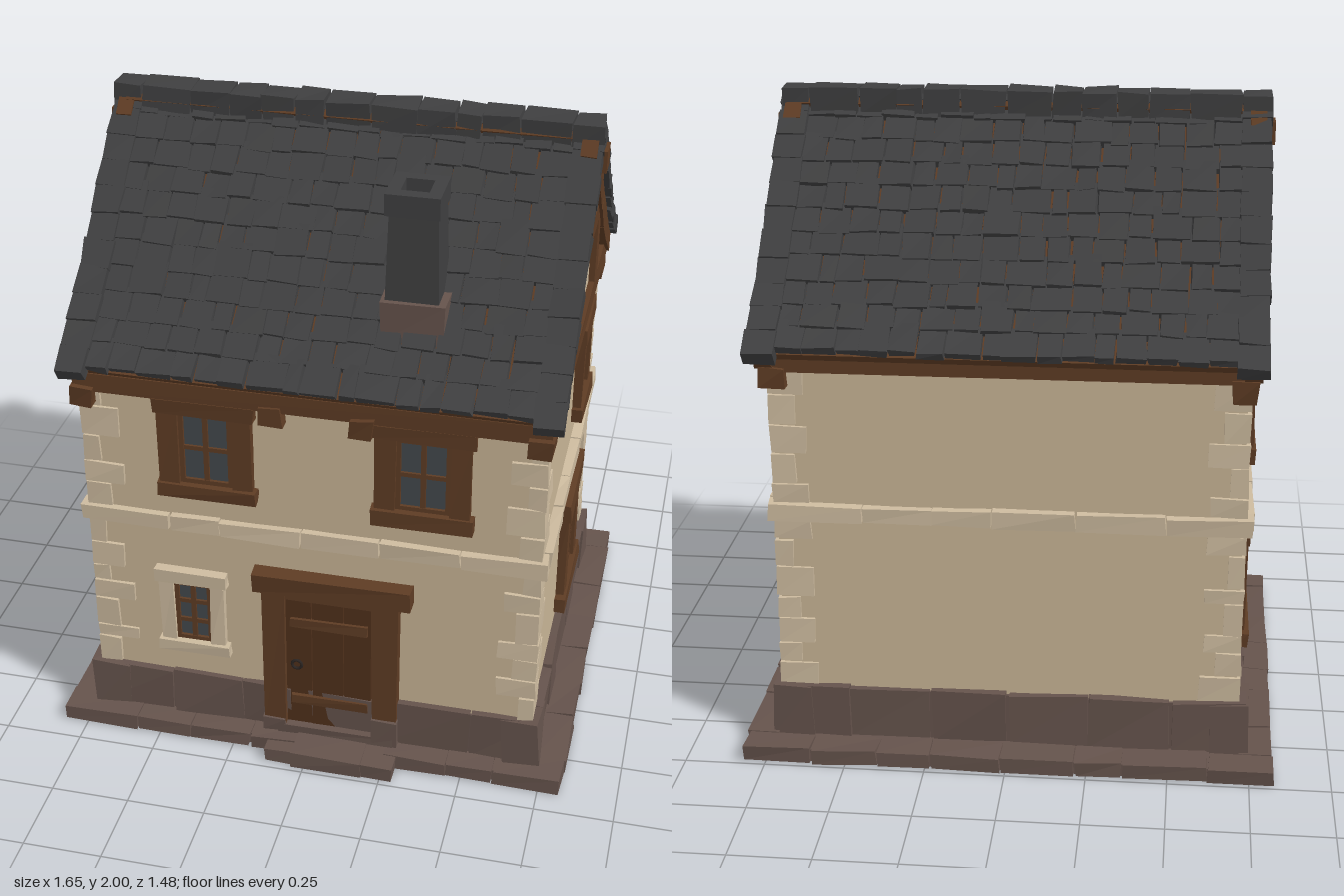
import * as THREE from 'three';
import { mergeGeometries } from 'three/addons/utils/BufferGeometryUtils.js';

const mat = (name, color) => {
  const m = new THREE.MeshStandardMaterial({ color });
  m.name = name;
  return m;
};

export function createModel() {
  const plaster = mat('plaster', 0xc9b596), paleStone = mat('pale stone', 0xcdbb9f);
  const stone = mat('foundation stone', 0x65534c), slate = mat('slate', 0x3f3f40);
  const timber = mat('timber', 0x5e3c24), doorWood = mat('door wood', 0x4f301b);
  const glass = mat('glass', 0x43484c), iron = mat('iron', 0x2c2522);
  const house = new THREE.Group();
  house.name = 'house';

  let seed = 7;
  const rnd = () => (seed = (seed * 16807) % 2147483647) / 2147483647;
  const vary = (a) => (rnd() - 0.5) * 2 * a;

  // Box with its eight corners nudged, for a hand-cut look
  function chunk(w, h, d, jit = 0) {
    const g = new THREE.BoxGeometry(w, h, d).toNonIndexed();
    const off = Array.from({ length: 24 }, () => vary(jit));
    const p = g.attributes.position;
    for (let i = 0; i < p.count; i++) {
      const x = p.getX(i), y = p.getY(i), z = p.getZ(i);
      const c = 3 * ((x > 0 ? 1 : 0) + (y > 0 ? 2 : 0) + (z > 0 ? 4 : 0));
      p.setXYZ(i, x + off[c], y + off[c + 1], z + off[c + 2]);
    }
    g.computeVertexNormals();
    return g;
  }
  // Box given by its limits on each axis
  const span = (x0, x1, y0, y1, z0, z1, jit = 0) =>
    chunk(x1 - x0, y1 - y0, z1 - z0, jit).translate((x0 + x1) / 2, (y0 + y1) / 2, (z0 + z1) / 2);
  function add(name, material, geos, parent = house) {
    const list = Array.isArray(geos) ? geos : [geos];
    const m = new THREE.Mesh(list.length > 1 ? mergeGeometries(list) : list[0], material);
    m.name = name;
    parent.add(m);
    return m;
  }
  // Cut a length into uneven pieces and call back with each piece
  function pieces(a, b, size, fn) {
    const n = Math.max(1, Math.round((b - a) / size)), step = (b - a) / n;
    const cuts = [a];
    for (let i = 1; i < n; i++) cuts.push(a + i * step + vary(step * 0.25));
    cuts.push(b);
    for (let i = 0; i < n; i++) fn(cuts[i], cuts[i + 1]);
  }
  // Ring of stones round a rectangle
  function ring(x, z0, z1, y0, y1, depth, size, jit) {
    const out = [];
    pieces(-x, x, size, (a, b) => out.push(span(a, b - 0.004, y0, y1, z1 - depth, z1, jit)));
    pieces(-x, x, size, (a, b) => out.push(span(a, b - 0.004, y0, y1, z0, z0 + depth, jit)));
    for (const s of [-1, 1]) pieces(z0 + depth, z1 - depth, size, (a, b) =>
      out.push(span(s * x - (s > 0 ? depth : 0), s * x + (s < 0 ? depth : 0), y0, y1, a, b - 0.004, jit)));
    return out;
  }

  // Foundation, plinth and door step
  add('baseSlab', stone, [span(-0.8, 0.8, 0, 0.04, -0.72, 0.65), ...ring(0.823, -0.738, 0.67, 0.002, 0.05, 0.1, 0.21, 0.004)]);
  add('plinth', stone, [span(-0.715, 0.715, 0.04, 0.2, -0.61, 0.59), ...ring(0.73, -0.622, 0.602, 0.04, 0.21, 0.08, 0.23, 0.007)]);
  const flares = [];
  for (const s of [-1, 1]) for (const z of [-0.56, 0.54])
    flares.push(span(s * 0.68 - 0.06, s * 0.68 + 0.06, 0.04, 0.21, z - 0.07, z + 0.07, 0.008));
  add('plinthCorners', stone, flares);
  add('doorStep', stone, [span(-0.13, -0.04, 0, 0.045, 0.6, 0.72, 0.003), span(-0.04, 0.19, 0, 0.055, 0.6, 0.735, 0.003),
    span(0.19, 0.29, 0, 0.05, 0.6, 0.73, 0.003), span(-0.11, 0.27, 0.04, 0.08, 0.57, 0.63, 0.003)]);

  // Walls with gables
  const profile = (pts, depth, x) => new THREE.ExtrudeGeometry(
    new THREE.Shape(pts.map(([z, y]) => new THREE.Vector2(-z, y))), { depth, bevelEnabled: false })
    .rotateY(Math.PI / 2).translate(x, 0, 0);
  add('walls', plaster, profile([[0.58, 0.1], [-0.6, 0.1], [-0.6, 1.28], [-0.035, 1.87], [0.58, 1.28]].reverse(), 1.41, -0.705));
  for (const s of [-1, 1])
    add('gablePanel', paleStone, profile([[0.55, 1.3], [-0.035, 1.87], [-0.6, 1.3]], 0.008, s * 0.709 - 0.004));
  add('stringCourse', paleStone, ring(0.735, -0.628, 0.605, 0.772, 0.825, 0.06, 0.24, 0.004));

  // Corner stones in alternating lengths
  const quoins = [];
  for (const sx of [-1, 1]) for (const front of [true, false]) for (const [y0, y1] of [[0.21, 0.77], [0.825, 1.25]]) {
    let k = front ? 0 : 1;
    pieces(y0, y1, 0.078, (a, b) => {
      const long = k++ % 2, w = (long ? 0.12 : 0.065) + vary(0.015), d = (long ? 0.075 : 0.125) + vary(0.015);
      const x = sx * (0.716 - w / 2), z = front ? 0.591 - d / 2 : -0.611 + d / 2;
      quoins.push(chunk(w, b - a - 0.006, d, 0.003).translate(x, (a + b) / 2, z));
    });
  }
  add('cornerStones', paleStone, quoins);

  // Framed window built facing +z around its own centre
  function makeWindow({ w, h, jamb, head, sill, rows, frame, over }) {
    const g = new THREE.Group();
    g.name = 'window';
    const a = w / 2, b = h / 2, wide = a + jamb;
    add('windowGlass', glass, span(-a, a, -b, b, -0.002, 0.006), g);
    add('windowFrame', frame, [
      span(-wide, -a, -b, b, -0.02, 0.028, 0.003), span(a, wide, -b, b, -0.02, 0.028, 0.003),
      span(-wide - over, wide + over, b, b + head, -0.02, 0.036, 0.004),
      span(-wide - over, wide + over, -b - sill, -b, -0.02, 0.038, 0.004)], g);
    const bars = [span(-0.008, 0.008, -b, b, 0, 0.014)];
    for (const s of [-1, 1]) {
      bars.push(span(s * a - 0.014, s * a + 0.014, -b, b, 0, 0.016));
      bars.push(span(-a, a, s * b - 0.014, s * b + 0.014, 0, 0.016));
    }
    for (let i = 1; i < rows; i++) {
      const y = -b + (i * h) / rows;
      bars.push(span(-a, a, y - 0.007, y + 0.007, 0, 0.014));
    }
    add('glazingBars', timber, bars, g);
    house.add(g);
    return g;
  }
  const upper = { w: 0.165, h: 0.25, jamb: 0.062, head: 0.05, sill: 0.05, rows: 2, frame: timber, over: 0.012 };
  for (const x of [-0.322, 0.348]) makeWindow(upper).position.set(x, 1.08, 0.58);
  makeWindow({ w: 0.12, h: 0.225, jamb: 0.045, head: 0.05, sill: 0.04, rows: 3, frame: paleStone, over: 0.012 })
    .position.set(-0.388, 0.457, 0.575);
  for (const s of [-1, 1]) {
    const side = [makeWindow({ ...upper, w: 0.13, h: 0.245, jamb: 0.052, rows: 3 }),
      makeWindow({ w: 0.19, h: 0.31, jamb: 0.06, head: 0.068, sill: 0.05, rows: 3, frame: timber, over: 0.028 })];
    side[0].position.set(s * 0.705, 1.075, -0.232);
    side[1].position.set(s * 0.705, 0.453, -0.128);
    side.forEach((win) => (win.rotation.y = (s * Math.PI) / 2));
  }

  // Door with frame, straps and handle
  add('doorFrame', timber, [span(-0.155, -0.082, 0.08, 0.6, 0.56, 0.622, 0.003), span(0.2, 0.282, 0.15, 0.6, 0.56, 0.622, 0.003),
    span(-0.18, 0.32, 0.6, 0.67, 0.56, 0.632, 0.005), span(-0.14, 0.27, 0.575, 0.605, 0.56, 0.615)]);
  add('doorFrameFeet', stone, [span(0.2, 0.285, 0.05, 0.15, 0.56, 0.63, 0.003), span(-0.157, -0.082, 0.05, 0.1, 0.56, 0.63, 0.003)]);
  const planks = [];
  pieces(-0.08, 0.198, 0.092, (a, b) => planks.push(span(a, b - 0.003, 0.08, 0.59, 0.57, 0.604, 0.001)));
  add('door', doorWood, planks);
  add('doorStraps', timber, [0.18, 0.485].map((y) => span(-0.065, 0.185, y - 0.018, y + 0.018, 0.6, 0.613, 0.003)));
  add('doorHandle', iron, new THREE.TorusGeometry(0.016, 0.005, 6, 12).translate(-0.045, 0.32, 0.61));

  // Eave beams, brackets and gable timbers
  const eaves = [span(-0.725, 0.725, 1.255, 1.315, 0.56, 0.615, 0.003), span(-0.725, 0.725, 1.255, 1.315, -0.645, -0.58, 0.003)];
  for (const x of [-0.695, -0.11, 0.165, 0.695]) for (const z of [0.575, -0.6]) {
    if (z < 0 && Math.abs(x) < 0.5) continue;
    eaves.push(span(x - 0.035, x + 0.035, 1.205, 1.27, z - 0.055, z + 0.055, 0.006));
  }
  eaves.push(span(-0.77, 0.77, 1.84, 1.91, -0.07, 0.005));
  add('eaveBeams', timber, eaves);
  for (const s of [-1, 1]) {
    const post = (z0, z1, y0, y1) => span(s * 0.715 - 0.018, s * 0.715 + 0.018, y0, y1, z0, z1, 0.003);
    add('gableTimbers', timber, [post(-0.645, 0.585, 1.265, 1.33), post(-0.39, 0.33, 1.55, 1.615), post(-0.07, 0.005, 1.6, 1.88),
      post(0.268, 0.338, 1.32, 1.56), post(-0.355, -0.285, 1.32, 1.56)]);
  }

  // Roof slope: pieces laid along a gently sagging curve
  const curve = new THREE.CatmullRomCurve3([[0, 1.985], [0.29, 1.705], [0.505, 1.495], [0.705, 1.34]]
    .map(([z, y]) => new THREE.Vector3(0, y, z)));
  const length = curve.getLength();
  function lay(u, x, off, w, t, len, jit = 0, tilt = 0) {
    const p = curve.getPointAt(u), d = curve.getTangentAt(u), a = Math.atan2(-d.y, d.z);
    return chunk(w, t, len, jit).rotateX(a - tilt)
      .translate(x, p.y + Math.cos(a) * off, p.z + Math.sin(a) * off);
  }
  for (const back of [false, true]) {
    const slope = new THREE.Group();
    slope.name = back ? 'backRoof' : 'frontRoof';
    slope.position.z = -0.035;
    slope.rotation.y = back ? Math.PI : 0;
    house.add(slope);
    const deck = [], shingles = [], verge = [], rakes = [];
    for (let i = 0; i < 6; i++) {
      const u = (i + 0.5) / 6 * 0.96, len = length / 6 + 0.01;
      deck.push(lay(u, 0, -0.05, 1.44, 0.025, len));
      for (const s of [-1, 1]) rakes.push(lay(u, s * 0.718, -0.083, 0.05, 0.062, len, 0.002));
    }
    const rows = 11;
    for (let r = 0; r < rows; r++) {
      const u = (r + 0.5) / rows * 0.955;
      pieces(-0.675, 0.675, 0.082, (a, b) => shingles.push(
        lay(u + vary(0.006), (a + b) / 2, -0.026 + vary(0.004), b - a - 0.005, 0.024, 0.108, 0.004, 0.09)));
      for (const s of [-1, 1]) verge.push(
        lay((r + 0.5) / rows, s * 0.713, -0.024 + vary(0.004), 0.09, 0.05, length / rows + 0.004, 0.004, 0.04));
    }
    add('roofDeck', timber, deck, slope);
    add('bargeboards', timber, rakes, slope);
    add('shingles', slate, shingles, slope);
    add('vergeTiles', slate, verge, slope);
  }
  const ridge = [];
  pieces(-0.76, 0.76, 0.115, (a, b) => ridge.push(span(a, b - 0.004, 1.915, 1.995, -0.085, 0.012, 0.005)));
  add('ridgeTiles', slate, ridge);

  // Chimney with an open top
  add('chimneyBase', stone, span(0.182, 0.378, 1.45, 1.575, 0.27, 0.46, 0.006));
  const shaft = new THREE.CylinderGeometry(0.102, 0.114, 0.3, 4, 1).rotateY(Math.PI / 4).toNonIndexed();
  shaft.computeVertexNormals();
  add('chimneyShaft', slate, shaft.translate(0.275, 1.705, 0.367));
  const square = (r, P) => new P([[-r, -r], [r, -r], [r, r], [-r, r]].map(([x, y]) => new THREE.Vector2(x, y)));
  const rim = square(0.081, THREE.Shape);
  rim.holes.push(square(0.042, THREE.Path));
  add('chimneyCap', slate, new THREE.ExtrudeGeometry(rim, { depth: 0.068, bevelEnabled: false })
    .rotateX(-Math.PI / 2).translate(0.272, 1.845, 0.367));
  return house;
}
